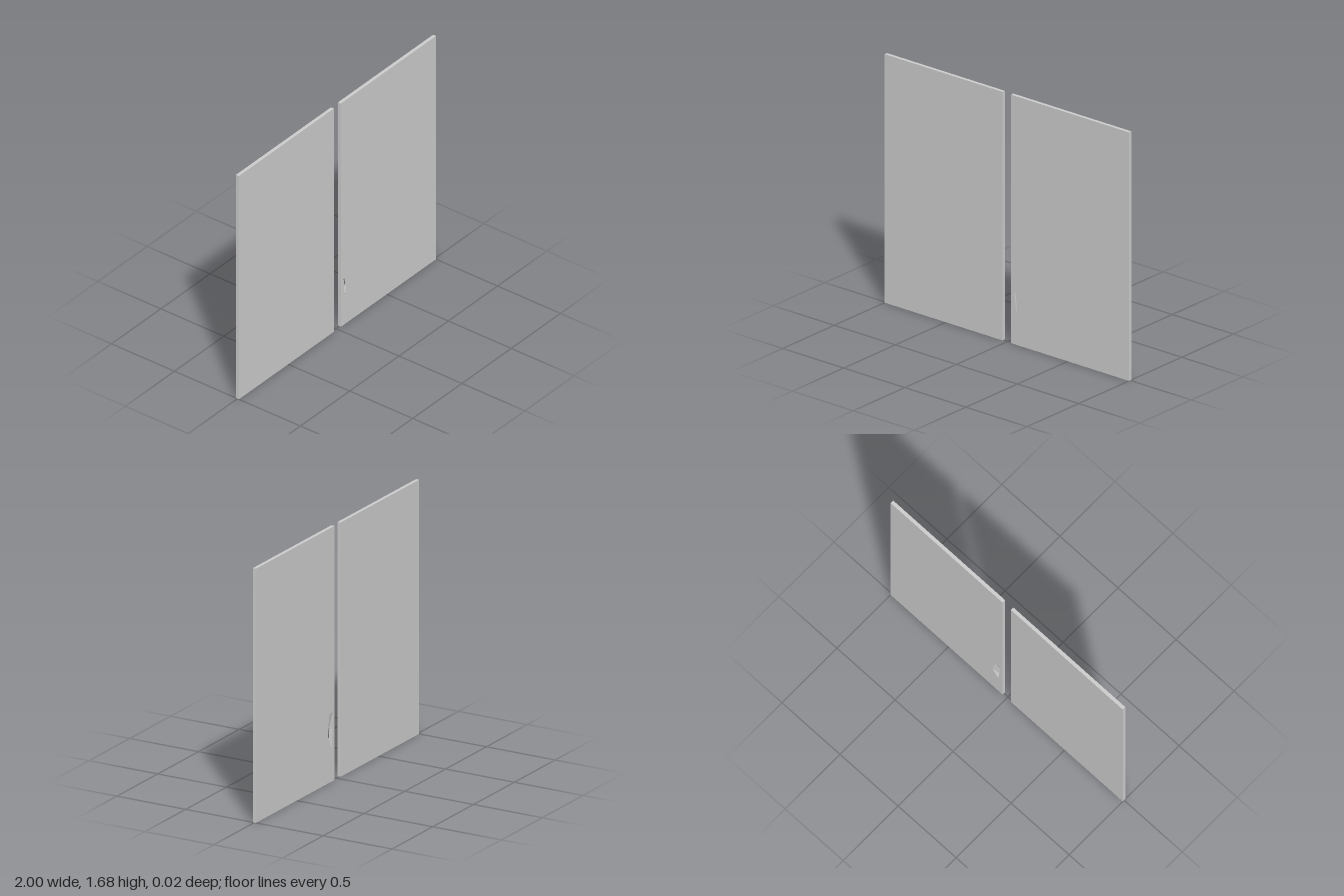
import * as THREE from 'three';
import { mergeGeometries } from 'three/addons/utils/BufferGeometryUtils.js';

const INNER = 0.035, OUTER = 1, HEIGHT = 1.68, HALF = 0.0115;

// Quads joining a back ring to a front ring of equal point count
function wall(back, front) {
  const pos = [];
  back.forEach((a, i) => {
    const j = (i + 1) % back.length;
    const aB = [...a, -HALF], bB = [...back[j], -HALF];
    const aF = [...front[i], HALF], bF = [...front[j], HALF];
    pos.push(...aB, ...bB, ...bF, ...aB, ...bF, ...aF);
  });
  const g = new THREE.BufferGeometry();
  g.setAttribute('position', new THREE.Float32BufferAttribute(pos, 3));
  g.computeVertexNormals();
  return g;
}

// Flat panel face with an optional opening
function face(outline, hole, z) {
  const points = (ring) => ring.map(([x, y]) => new THREE.Vector2(x, y));
  const shape = new THREE.Shape(points(outline));
  shape.holes.push(new THREE.Path(points(hole)));
  let g = new THREE.ShapeGeometry(shape);
  g.deleteAttribute('uv');
  if (z < 0) {
    const index = g.getIndex().array;
    for (let i = 0; i < index.length; i += 3) [index[i], index[i + 1]] = [index[i + 1], index[i]];
    g.getAttribute('normal').array.forEach((n, i, all) => { all[i] = -n; });
  }
  g = g.toNonIndexed();
  return g.translate(0, 0, z);
}

export function createModel() {
  const group = new THREE.Group();
  const material = new THREE.MeshStandardMaterial({ color: 0xcccccc, flatShading: true });
  const add = (name, geometry) => {
    const mesh = new THREE.Mesh(geometry, material);
    mesh.name = name;
    group.add(mesh);
    return mesh;
  };

  // Plain panel
  add('rightPanel', new THREE.BoxGeometry(OUTER - INNER, HEIGHT, HALF * 2))
    .position.set(-(OUTER + INNER) / 2, HEIGHT / 2, 0);

  // Panel pierced by a jagged hole that widens towards the back
  const outline = [[INNER, 0], [OUTER, 0], [OUTER, HEIGHT], [INNER, HEIGHT]];
  const holeBack = [[0.056, 0.46], [0.1, 0.455], [0.12, 0.31], [0.072, 0.22], [0.063, 0.34]];
  const holeFront = [[0.063, 0.345], [0.071, 0.345], [0.085, 0.25], [0.077, 0.212], [0.071, 0.27]];
  add('leftPanel', mergeGeometries([
    face(outline, holeFront, HALF),
    face(outline, holeBack, -HALF),
    wall(outline, outline),
    wall(holeBack, holeFront),
  ]));

  return group;
}
